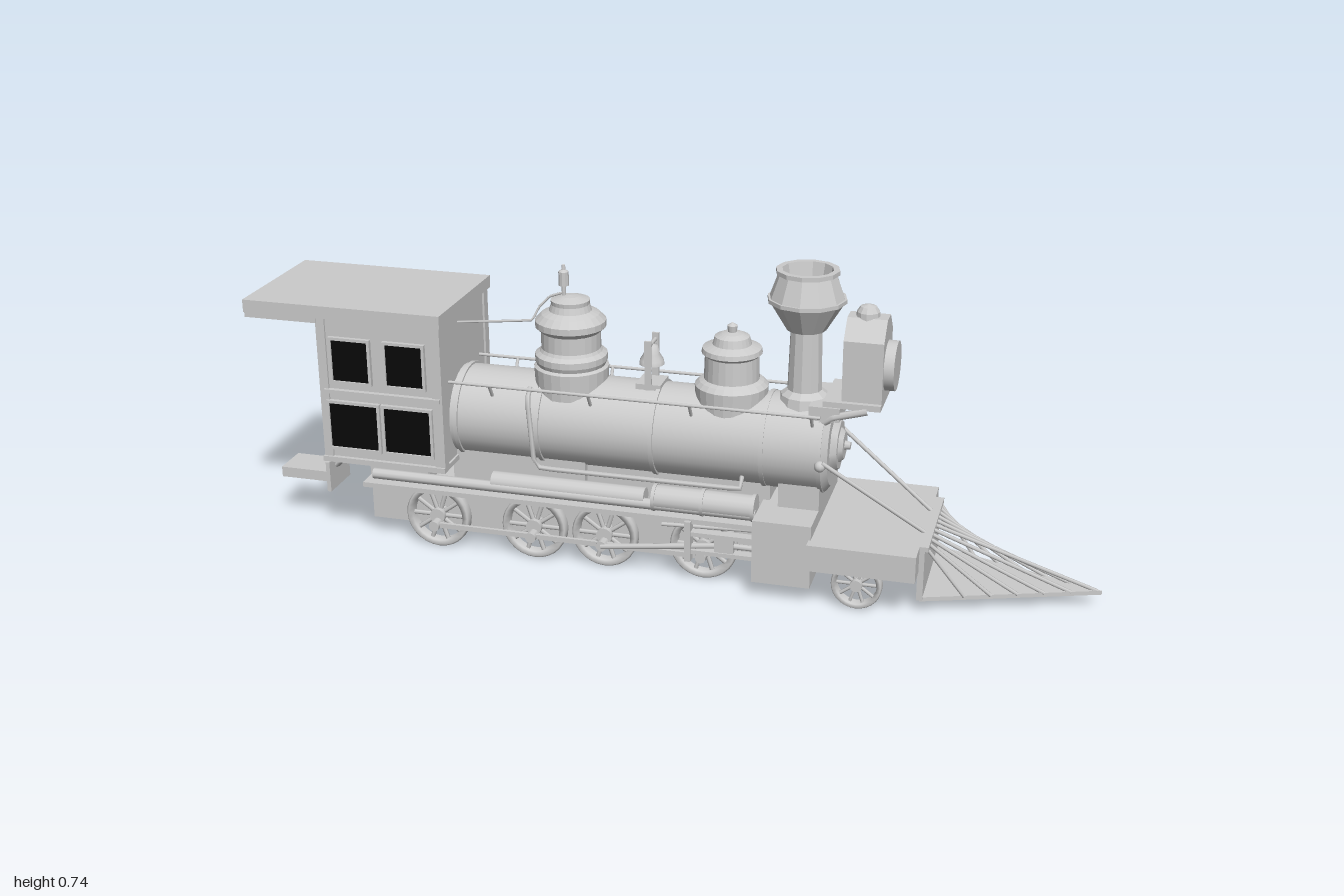
import * as THREE from 'three';
import { mergeGeometries } from 'three/addons/utils/BufferGeometryUtils.js';

const grey = new THREE.MeshStandardMaterial({ color: 0xcccccc });
const faceted = new THREE.MeshStandardMaterial({ color: 0xcccccc, flatShading: true });
const thin = new THREE.MeshStandardMaterial({ color: 0xcccccc, side: THREE.DoubleSide });
const black = new THREE.MeshStandardMaterial({ color: 0x080808 });
const V = (x, y, z) => new THREE.Vector3(x, y, z);

export function createModel() {
  const model = new THREE.Group();
  model.name = 'steamLocomotive';

  const add = (name, geometry, material = grey) => {
    const mesh = new THREE.Mesh(geometry, material);
    mesh.name = name;
    model.add(mesh);
    return mesh;
  };
  // Box given by its limits on each axis
  const boxGeo = (x0, x1, y0, y1, z0, z1) => new THREE.BoxGeometry(x1 - x0, y1 - y0, z1 - z0)
    .translate((x0 + x1) / 2, (y0 + y1) / 2, (z0 + z1) / 2);
  const box = (name, ...limits) => add(name, boxGeo(...limits));
  // Straight round bar between two points
  const barGeo = (a, b, r, sides = 8, r2 = r) => {
    const dir = b.clone().sub(a);
    const g = new THREE.CylinderGeometry(r2, r, dir.length(), sides);
    g.applyQuaternion(new THREE.Quaternion().setFromUnitVectors(V(0, 1, 0), dir.normalize()));
    return g.translate((a.x + b.x) / 2, (a.y + b.y) / 2, (a.z + b.z) / 2);
  };
  const bar = (name, a, b, r, sides, r2) => add(name, barGeo(a, b, r, sides, r2));
  const pipe = (name, points, r) =>
    add(name, new THREE.TubeGeometry(new THREE.CatmullRomCurve3(points, false, 'catmullrom', 0.1), 24, r, 6));
  // Turned part standing at x; profile is [radius, height] pairs
  const turned = (name, x, profile, sides = 24) => {
    const g = new THREE.LatheGeometry(profile.map(p => new THREE.Vector2(p[0], p[1])), sides);
    return add(name, g.translate(x, 0, 0), faceted);
  };
  const sides = fn => [1, -1].forEach(fn);

  // ---- Cab ----
  box('cabBody', -0.81, -0.52, 0.23, 0.585, -0.152, 0.152);
  box('cabFloor', -0.825, -0.515, 0.222, 0.235, -0.162, 0.162);
  box('cabRoof', -1, -0.51, 0.582, 0.612, -0.165, 0.165);
  box('roofRearEdge', -1, -0.82, 0.568, 0.582, -0.16, 0.16);
  sides(s => {
    box('cabCornerPost', -0.822, -0.8, 0.23, 0.582, s * 0.145 - 0.012, s * 0.145 + 0.012);
    box('cabCornerPost', -0.54, -0.515, 0.23, 0.582, s * 0.145 - 0.012, s * 0.145 + 0.012);
    box('cabSill', -0.81, -0.52, 0.397, 0.407, s * 0.156 - 0.008, s * 0.156 + 0.008);
    [[-0.785, -0.695, 0.43, 0.53], [-0.65, -0.56, 0.43, 0.53],
      [-0.8, -0.68, 0.262, 0.372], [-0.662, -0.548, 0.262, 0.372]].forEach(([x0, x1, y0, y1]) => {
      add('cabWindow', boxGeo(x0, x1, y0, y1, s * 0.155 - 0.003, s * 0.155 + 0.003), black);
      [[x0 - 0.007, x0, y0, y1], [x1, x1 + 0.007, y0, y1],
        [x0 - 0.007, x1 + 0.007, y0 - 0.007, y0], [x0 - 0.007, x1 + 0.007, y1, y1 + 0.007]]
        .forEach(f => box('windowFrame', ...f, s * 0.156 - 0.006, s * 0.156 + 0.006));
    });
  });

  // ---- Boiler and smokebox ----
  const by = 0.33;
  const alongX = (name, x0, x1, r0, r1 = r0, n = 32) => bar(name, V(x0, by, 0), V(x1, by, 0), r0, n, r1);
  alongX('boiler', -0.53, 0.24, 0.108);
  alongX('smokebox', 0.23, 0.365, 0.111);
  alongX('smokeboxEdge', 0.365, 0.378, 0.111, 0.095);
  alongX('smokeboxDoor', 0.378, 0.392, 0.07, 0.058, 8);
  alongX('doorCentre', 0.392, 0.402, 0.043, 0.033, 8);
  alongX('doorKnob', 0.4, 0.415, 0.012, 0.009, 8);
  [-0.505, -0.305, -0.03, 0.228, 0.36].forEach(x => alongX('boilerBand', x - 0.005, x + 0.005, 0.113));
  box('smokeboxSaddle', 0.265, 0.36, 0.18, 0.27, -0.08, 0.08);
  box('firebox', -0.53, -0.2, 0.14, 0.27, -0.07, 0.07);

  // Handrails, feed pipes and stays on both flanks
  sides(s => {
    bar('handrail', V(-0.52, 0.43, s * 0.1), V(0.36, 0.43, s * 0.1), 0.004);
    [-0.42, -0.18, 0.06, 0.34].forEach(x =>
      bar('handrailPost', V(x, 0.395, s * 0.078), V(x, 0.43, s * 0.1), 0.004));
    pipe('feedPipe', [V(-0.325, 0.43, s * 0.085), V(-0.32, 0.41, s * 0.118), V(-0.31, 0.33, s * 0.128),
      V(-0.305, 0.255, s * 0.126), V(-0.28, 0.247, s * 0.124), V(0.18, 0.247, s * 0.12), V(0.185, 0.27, s * 0.1)], 0.006);
    add('stayMount', new THREE.SphereGeometry(0.013, 10, 8).translate(0.365, 0.32, s * 0.115));
    bar('frontStay', V(0.37, 0.33, s * 0.118), V(0.6, 0.163, s * 0.06), 0.005);
  });

  // ---- Steam dome, sand dome and chimney ----
  turned('steamDome', -0.25, [[0.085, 0.4], [0.088, 0.465], [0.081, 0.47], [0.085, 0.48], [0.085, 0.495],
    [0.074, 0.503], [0.07, 0.51], [0.07, 0.55], [0.083, 0.562], [0.083, 0.577], [0.068, 0.592],
    [0.05, 0.6], [0.045, 0.615], [0.046, 0.625], [0.02, 0.633], [0, 0.635]]);
  turned('sandDome', 0.135, [[0.082, 0.4], [0.085, 0.455], [0.075, 0.465], [0.064, 0.47], [0.062, 0.525],
    [0.07, 0.532], [0.068, 0.543], [0.045, 0.552], [0.04, 0.57], [0.025, 0.577], [0.01, 0.58], [0.012, 0.595], [0, 0.603]]);
  turned('chimney', 0.305, [[0.06, 0.42], [0.055, 0.448], [0.04, 0.46], [0.036, 0.6], [0.045, 0.602],
    [0.085, 0.668], [0.09, 0.668], [0.09, 0.677], [0.085, 0.677], [0.066, 0.73], [0.072, 0.732],
    [0.072, 0.742], [0.058, 0.742], [0.05, 0.7], [0, 0.7]], 12);
  turned('whistle', -0.265, [[0.005, 0.62], [0.005, 0.655], [0.012, 0.657], [0.012, 0.69], [0.005, 0.695], [0.004, 0.706], [0, 0.708]], 10);
  pipe('whistleRod', [V(-0.52, 0.555, 0.03), V(-0.34, 0.572, 0.02), V(-0.325, 0.6, 0.01), V(-0.3, 0.627, 0), V(-0.265, 0.64, 0)], 0.003);

  // ---- Bell ----
  turned('bell', -0.055, [[0.03, 0.485], [0.028, 0.495], [0.019, 0.51], [0.015, 0.53], [0, 0.535]], 12).material = thin;
  sides(s => box('bellStand', -0.063, -0.047, 0.42, 0.55, s * 0.033 - 0.003, s * 0.033 + 0.003));
  bar('bellYoke', V(-0.055, 0.535, -0.035), V(-0.055, 0.535, 0.035), 0.005);
  box('bellBase', -0.085, -0.025, 0.425, 0.445, -0.035, 0.035);

  // ---- Headlight ----
  const lamp = new THREE.Shape();
  [[-0.063, 0.46], [0.063, 0.46], [0.063, 0.602], [0.022, 0.645], [-0.022, 0.645], [-0.063, 0.602]]
    .forEach(([z, y], i) => (i ? lamp.lineTo(z, y) : lamp.moveTo(z, y)));
  add('headlightBody', new THREE.ExtrudeGeometry(lamp, { depth: 0.09, bevelEnabled: false })
    .rotateY(Math.PI / 2).translate(0.4, 0, 0));
  bar('headlightLens', V(0.48, 0.533, 0), V(0.513, 0.533, 0), 0.057, 28);
  turned('headlightVent', 0.443, [[0.027, 0.64], [0.026, 0.655], [0.018, 0.667], [0, 0.672]], 12);
  box('headlightShelf', 0.36, 0.49, 0.447, 0.461, -0.075, 0.075);
  sides(s => {
    const bracket = [V(0.35, 0.4, s * 0.07), V(0.385, 0.425, s * 0.075), V(0.46, 0.445, s * 0.07)];
    pipe('headlightBracket', bracket, 0.009);
  });
  box('headlightMount', 0.33, 0.4, 0.415, 0.448, -0.08, 0.08);

  // ---- Frame, running boards and tanks ----
  box('mainFrame', -0.745, 0.24, 0.045, 0.15, -0.072, 0.072);
  box('frontFrame', 0.34, 0.56, 0.045, 0.11, -0.07, 0.07);
  box('cylinderBlock', 0.225, 0.36, 0.042, 0.195, -0.17, 0.17);
  box('pilotDeck', 0.355, 0.6, 0.1, 0.163, -0.198, 0.198);
  box('rearFrame', -0.75, -0.6, 0.14, 0.225, -0.065, 0.065);
  box('boilerCradle', -0.2, 0.24, 0.14, 0.235, -0.05, 0.05);
  sides(s => {
    box('runningBoard', -0.74, 0.24, 0.152, 0.164, s * 0.1 - 0.034, s * 0.1 + 0.034);
    bar('longPipe', V(-0.72, 0.18, s * 0.11), V(0.22, 0.18, s * 0.11), 0.013, 10);
    bar('airTank', V(-0.025, 0.192, s * 0.095), V(0.215, 0.192, s * 0.095), 0.03, 16);
    bar('smallTank', V(-0.42, 0.188, s * 0.095), V(-0.045, 0.188, s * 0.095), 0.024, 16);
    [-0.025, 0.09, 0.21].forEach(x => bar('tankBand', V(x, 0.192, s * 0.095), V(x + 0.008, 0.192, s * 0.095), 0.033, 16));
  });

  // ---- Wheels ----
  const wheel = (r, spokes, width) => {
    const rim = new THREE.LatheGeometry([[r * 0.8, -1], [r * 0.95, -1], [r, -0.7], [r, 0.7], [r * 0.95, 1], [r * 0.8, 1], [r * 0.8, -1]]
      .map(([a, b]) => new THREE.Vector2(a, b * width / 2)), 28).rotateX(Math.PI / 2);
    const parts = [rim, barGeo(V(0, 0, -width * 0.6), V(0, 0, width * 0.6), r * 0.24, 14)];
    for (let i = 0; i < spokes; i++) {
      const a = (i / spokes) * Math.PI * 2;
      parts.push(barGeo(V(0, 0, 0), V(Math.cos(a) * r * 0.85, Math.sin(a) * r * 0.85, 0), r * 0.07, 6));
    }
    return mergeGeometries(parts);
  };
  const driver = wheel(0.08, 10, 0.025), leading = wheel(0.058, 10, 0.025);
  const axles = [-0.565, -0.32, -0.145, 0.095];
  sides(s => {
    axles.forEach(x => {
      add('drivingWheel', driver).position.set(x, 0.081, s * 0.09);
      bar('crankPin', V(x, 0.065, s * 0.1), V(x, 0.065, s * 0.13), 0.013, 10);
    });
    add('leadingWheel', leading).position.set(0.465, 0.06, s * 0.152);

    // Rods and crosshead
    box('couplingRod', -0.575, 0.105, 0.059, 0.071, s * 0.116 - 0.004, s * 0.116 + 0.004);
    bar('connectingRod', V(-0.145, 0.065, s * 0.128), V(0.16, 0.105, s * 0.128), 0.007);
    bar('pistonRod', V(0.14, 0.105, s * 0.128), V(0.23, 0.105, s * 0.128), 0.007);
    [0.085, 0.13].forEach(y => box('slideBar', 0.06, 0.23, y - 0.005, y + 0.005, s * 0.13 - 0.012, s * 0.13 + 0.012));
    box('crosshead', 0.13, 0.175, 0.08, 0.135, s * 0.13 - 0.009, s * 0.13 + 0.009);
    box('slideBarHanger', 0.06, 0.075, 0.06, 0.16, s * 0.13 - 0.014, s * 0.13 + 0.014);
    bar('valveRod', V(0.0, 0.135, s * 0.115), V(0.23, 0.145, s * 0.115), 0.005);
  });
  bar('leadingAxle', V(0.465, 0.06, -0.15), V(0.465, 0.06, 0.15), 0.012, 10);

  // ---- Pilot: back plate, wedge floor and sloping bars ----
  box('pilotBackPlate', 0.598, 0.612, 0.03, 0.163, -0.14, 0.14);
  const floor = new THREE.Shape([new THREE.Vector2(0.605, -0.14), new THREE.Vector2(1, 0), new THREE.Vector2(0.605, 0.14)]);
  add('pilotFloor', new THREE.ExtrudeGeometry(floor, { depth: 0.01, bevelEnabled: false })
    .rotateX(-Math.PI / 2).translate(0, 0.028, 0));
  box('pilotTopRail', 0.598, 0.62, 0.152, 0.163, -0.14, 0.14);
  for (let i = -5; i <= 5; i++) {
    const z = i * 0.025, foot = z * 0.85;
    bar('pilotBar', V(0.612, 0.157, z), V(0.99 - 0.38 * Math.abs(foot) / 0.14, 0.036, foot), 0.0045, 6);
  }

  // ---- Rear coupling ----
  box('couplingBar', -1, -0.87, 0.112, 0.138, -0.045, 0.045);
  box('couplingPlate', -0.875, -0.865, 0.09, 0.168, -0.055, 0.055);
  const arch = new THREE.CatmullRomCurve3([V(-0.87, 0.145, 0), V(-0.845, 0.168, 0), V(-0.81, 0.176, 0), V(-0.77, 0.165, 0), V(-0.73, 0.145, 0)]);
  add('couplingNeck', new THREE.TubeGeometry(arch, 16, 0.01, 8).scale(1, 1, 2.5));
  return model;
}
